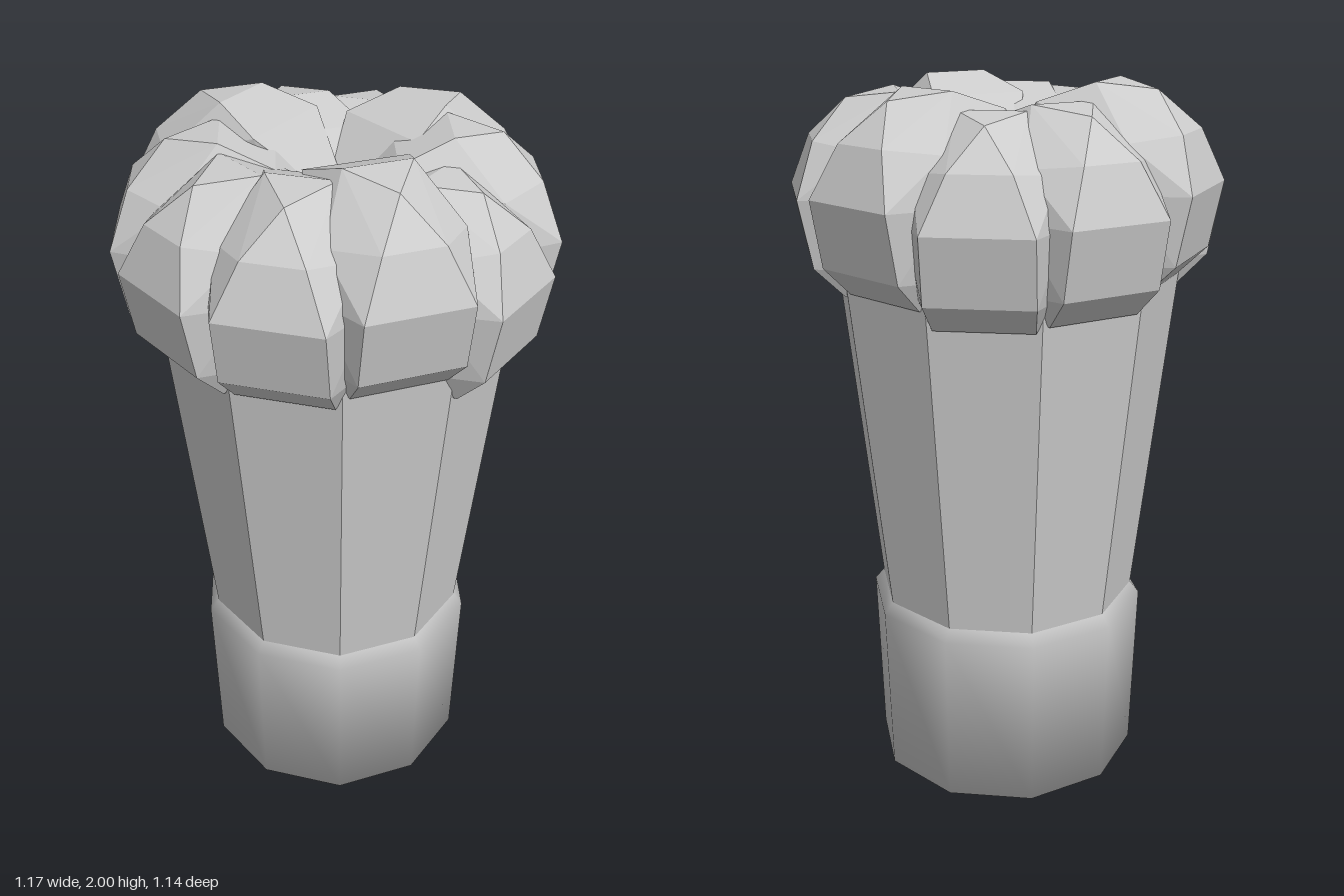
import * as THREE from 'three';
import { ConvexGeometry } from 'three/addons/geometries/ConvexGeometry.js';

const SIDES = 10;
const STEP = (Math.PI * 2) / SIDES;

// Half outline of one lobe: [half width, height, distance from the axis]
const LOBE = [
  [0.13, 1.465, 0.455], [0.14, 1.545, 0.535], [0.14, 1.725, 0.57], // outer face
  [0.08, 1.865, 0.52], [0, 1.965, 0.425], [0.18, 1.85, 0.41],      // rounded crown
  [0.09, 1.985, 0.29], [0.14, 1.935, 0.15],
  [0.2, 1.725, 0.42], [0.18, 1.54, 0.4], [0.14, 1.465, 0.3],       // flanks
  [0.06, 1.82, 0.03], [0.06, 1.6, 0.05],                           // inner end
];

// Height shift of each lobe, counted from the front towards +x
const SHIFTS = [0, -0.07, -0.015, 0, -0.045, -0.03, 0.015, -0.02, -0.04, -0.03];

function lobeGeometry() {
  const points = [];
  for (const [x, y, z] of LOBE) {
    points.push(new THREE.Vector3(x, y, z));
    if (x > 0) points.push(new THREE.Vector3(-x, y, z));
  }
  return new ConvexGeometry(points);
}

export function createModel() {
  const model = new THREE.Group();
  model.name = 'lobedColumn';
  const smooth = new THREE.MeshStandardMaterial({ color: 0xcccccc });
  const faceted = new THREE.MeshStandardMaterial({ color: 0xcccccc, flatShading: true });

  // Smooth closed sleeve around the foot
  const profile = [[0, 0], [0.385, 0], [0.4, 0.5], [0.36, 0.55]]
    .map(([r, y]) => new THREE.Vector2(r, y));
  const sleeve = new THREE.Mesh(
    new THREE.LatheGeometry(profile, SIDES, STEP / 2), smooth);
  sleeve.name = 'footSleeve';
  model.add(sleeve);

  // Faceted shaft widening upwards into the head
  const shaft = new THREE.Mesh(
    new THREE.CylinderGeometry(0.49, 0.37, 1.1, SIDES), faceted);
  shaft.name = 'shaft';
  shaft.position.y = 1.05;
  shaft.rotation.y = STEP / 2;
  model.add(shaft);

  // Ring of overlapping lobes with a hollow in the middle
  const head = new THREE.Group();
  head.name = 'head';
  const geometry = lobeGeometry();
  SHIFTS.forEach((shift, i) => {
    const lobe = new THREE.Mesh(geometry, faceted);
    lobe.name = 'lobe' + (i + 1);
    lobe.position.y = shift;
    lobe.rotation.y = i * STEP;
    head.add(lobe);
  });
  model.add(head);

  return model;
}
